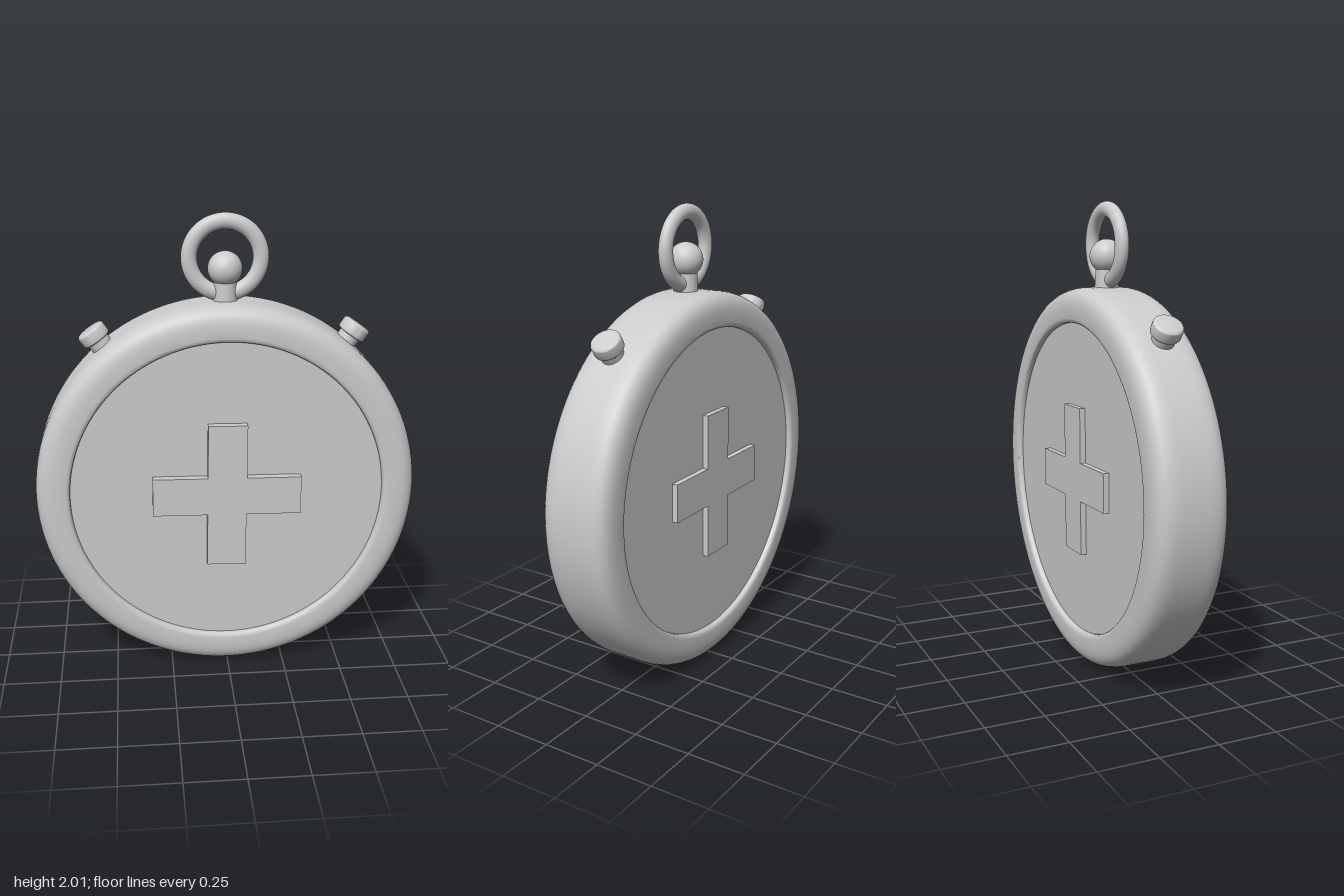
import * as THREE from 'three';
import { toCreasedNormals } from 'three/addons/utils/BufferGeometryUtils.js';

const material = new THREE.MeshStandardMaterial({ color: 0xcccccc });
const CENTRE_Y = 0.815;

function part(name, geometry, parent) {
  const mesh = new THREE.Mesh(geometry, material);
  mesh.name = name;
  parent.add(mesh);
  return mesh;
}

// Turned part; profile runs from the bottom up
function turned(points, segments) {
  return toCreasedNormals(new THREE.LatheGeometry(points, segments), 0.6);
}

// Rounded case with a recessed round face on each side
function caseGeometry() {
  const p = new THREE.Path();
  p.moveTo(0.676, -0.14);
  p.lineTo(0.676, -0.15);
  p.quadraticCurveTo(0.678, -0.165, 0.7, -0.165);
  p.lineTo(0.725, -0.165);
  p.bezierCurveTo(0.795, -0.165, 0.825, -0.14, 0.825, -0.065);
  p.lineTo(0.825, 0.055);
  p.bezierCurveTo(0.825, 0.13, 0.795, 0.155, 0.725, 0.155);
  p.lineTo(0.7, 0.155);
  p.quadraticCurveTo(0.678, 0.155, 0.676, 0.138);
  p.lineTo(0.676, 0.128);
  const points = [new THREE.Vector2(0, -0.14), ...p.getPoints(10), new THREE.Vector2(0, 0.128)];
  return turned(points, 128).rotateX(Math.PI / 2);
}

// Plus-shaped plate with equal arms
function crossGeometry(depth) {
  const a = 0.084, b = 0.32;
  const corners = [[a, b], [-a, b], [-a, a], [-b, a], [-b, -a], [-a, -a],
    [-a, -b], [a, -b], [a, -a], [b, -a], [b, a], [a, a]];
  const shape = new THREE.Shape(corners.map(([x, y]) => new THREE.Vector2(x, y)));
  return new THREE.ExtrudeGeometry(shape, { depth, bevelEnabled: false });
}

// Side push button: narrow stem under a wider cap with softened edges
function pushButton(name, side) {
  const group = new THREE.Group();
  group.name = name;
  const stem = part('buttonStem', new THREE.CylinderGeometry(0.047, 0.047, 0.14, 40), group);
  stem.position.y = -0.07;
  const p = new THREE.Path();
  p.moveTo(0, -0.028);
  p.lineTo(0.054, -0.028);
  p.quadraticCurveTo(0.063, -0.028, 0.063, -0.018);
  p.lineTo(0.063, 0.014);
  p.quadraticCurveTo(0.063, 0.027, 0.05, 0.028);
  p.lineTo(0, 0.031);
  part('buttonCap', turned(p.getPoints(6), 40), group);
  group.position.set(side * 0.553, 1.502, 0);
  group.rotation.z = -side * THREE.MathUtils.degToRad(35);
  return group;
}

export function createModel() {
  const model = new THREE.Group();
  model.name = 'pocketStopwatch';

  part('case', caseGeometry(), model).position.y = CENTRE_Y;

  // Raised crosses on both faces
  for (const [name, z] of [['frontCross', 0.12], ['backCross', -0.165]]) {
    const cross = part(name, crossGeometry(0.045), model);
    cross.position.set(-0.004, CENTRE_Y, z);
    cross.rotation.z = -0.012;
  }

  // Crown: stem and ball
  const stem = [[0.052, 1.58], [0.052, 1.64], [0.049, 1.68], [0.047, 1.74]];
  part('crownStem', turned(stem.map(([x, y]) => new THREE.Vector2(x, y)), 48), model);
  part('crownBall', new THREE.SphereGeometry(0.073, 48, 32), model).position.y = 1.77;

  // Hanging ring through the crown
  const ring = part('hangingRing', new THREE.TorusGeometry(0.15, 0.034, 24, 80), model);
  ring.position.y = 1.816;
  ring.scale.z = 0.85;

  model.add(pushButton('leftButton', 1), pushButton('rightButton', -1));
  return model;
}
